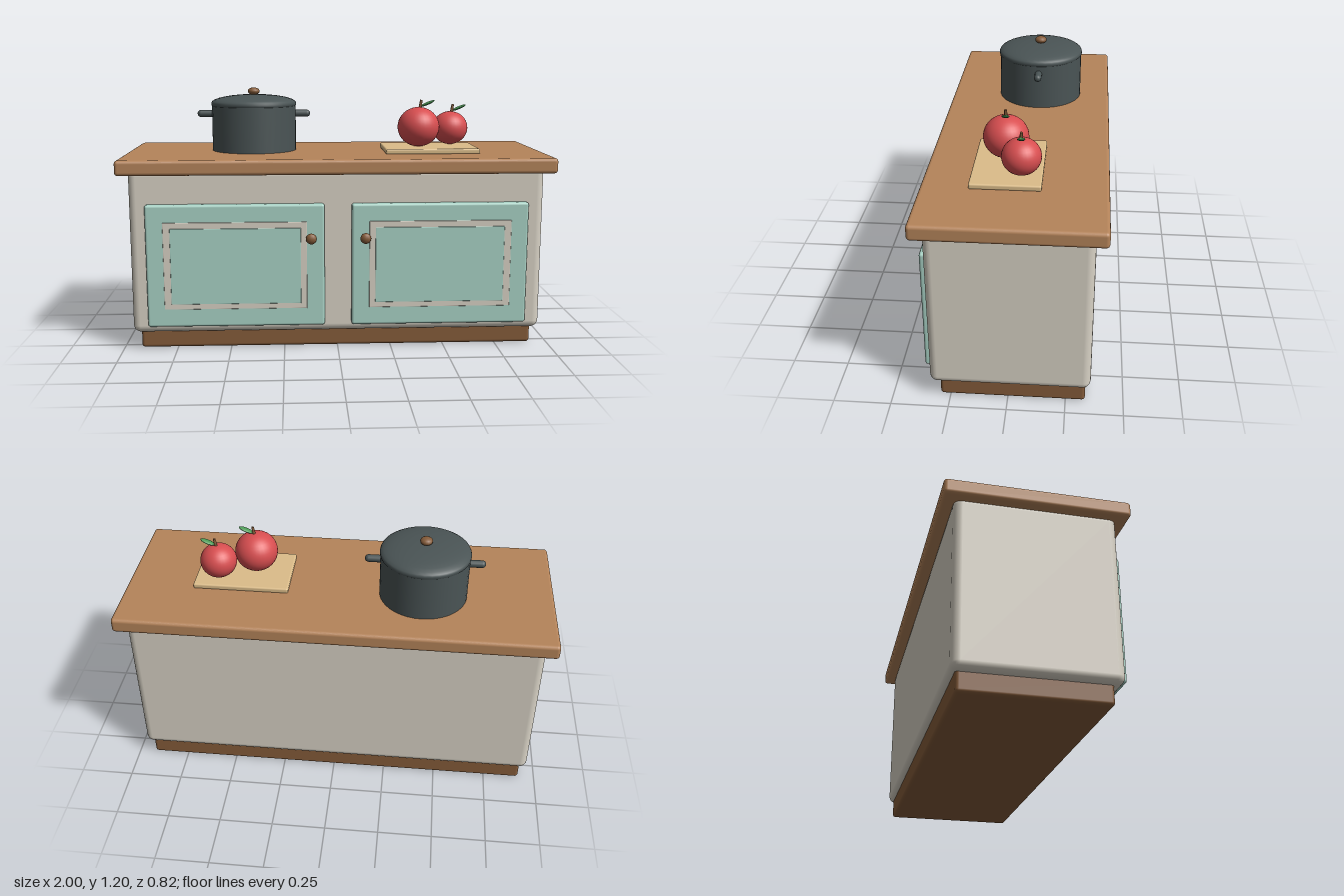
import * as THREE from 'three';
import { RoundedBoxGeometry } from 'three/addons/geometries/RoundedBoxGeometry.js';

const material = (name, color) => {
  const m = new THREE.MeshStandardMaterial({ color });
  m.name = name;
  return m;
};

export function createModel() {
  const wood = material('warm wood', 0xb5845a);
  const darkWood = material('dark wood', 0x855c3a);
  const cream = material('cream paint', 0xd8d2c5);
  const mint = material('mint paint', 0xa9d3c6);
  const iron = material('dark iron', 0x4a5455);
  const red = material('apple red', 0xd84e50);
  const paleWood = material('pale wood', 0xdcbd8a);
  const green = material('leaf green', 0x4c9a55);

  const model = new THREE.Group();
  model.name = 'kitchenCounter';

  const add = (parent, name, geometry, mat, x = 0, y = 0, z = 0) => {
    const mesh = new THREE.Mesh(geometry, mat);
    mesh.name = name;
    mesh.position.set(x, y, z);
    parent.add(mesh);
    return mesh;
  };
  const group = (name, x = 0, y = 0, z = 0) => {
    const g = new THREE.Group();
    g.name = name;
    g.position.set(x, y, z);
    model.add(g);
    return g;
  };
  // Rounded box given by its extents on each axis
  const slab = (parent, name, mat, [x0, x1], [y0, y1], [z0, z1], radius) =>
    add(parent, name, new RoundedBoxGeometry(x1 - x0, y1 - y0, z1 - z0, 3, radius), mat,
      (x0 + x1) / 2, (y0 + y1) / 2, (z0 + z1) / 2);
  const ellipsoid = (rx, ry, rz, w = 24, h = 16) =>
    new THREE.SphereGeometry(1, w, h).scale(rx, ry, rz);

  // Cabinet
  slab(model, 'plinth', darkWood, [-0.92, 0.92], [0, 0.1], [-0.335, 0.294], 0.015);
  slab(model, 'cabinetBody', cream, [-0.952, 0.952], [0.083, 0.85], [-0.357, 0.336], 0.035);
  slab(model, 'worktop', wood, [-1, 1], [0.825, 0.895], [-0.408, 0.386], 0.016);

  // Doors with a cream moulding, raised centre panel and knob
  for (const side of [-1, 1]) {
    const door = group(side < 0 ? 'rightDoor' : 'leftDoor');
    const span = (a, b) => (side < 0 ? [-b, -a] : [a, b]);
    slab(door, 'doorPanel', mint, span(0.062, 0.877), [0.12, 0.69], [0.325, 0.365], 0.012);
    slab(door, 'moulding', cream, span(0.143, 0.797), [0.205, 0.61], [0.361, 0.37], 0.002);
    slab(door, 'centrePanel', mint, span(0.171, 0.765), [0.23, 0.582], [0.365, 0.374], 0.002);
    add(door, 'doorKnob', ellipsoid(0.025, 0.025, 0.019, 12, 8), darkWood, side * 0.124, 0.535, 0.392);
  }

  // Cooking pot
  const pot = group('pot', -0.393, 0.895, -0.057);
  add(pot, 'potBody', new THREE.CylinderGeometry(0.204, 0.204, 0.22, 40), iron, 0, 0.11, 0);
  const lidProfile = [new THREE.Vector2(0, 0.212), new THREE.Vector2(0.2, 0.212), new THREE.Vector2(0.207, 0.218)];
  for (let i = 0; i <= 8; i++) {
    const a = (i / 8) * Math.PI / 2;
    lidProfile.push(new THREE.Vector2(0.207 * Math.cos(a), 0.229 + 0.041 * Math.sin(a)));
  }
  add(pot, 'potLid', new THREE.LatheGeometry(lidProfile, 40), iron);
  add(pot, 'lidKnob', ellipsoid(0.029, 0.018, 0.029, 16, 10), darkWood, 0, 0.285, 0);
  for (const side of [-1, 1]) {
    const handle = add(pot, 'potHandle', new THREE.CapsuleGeometry(0.0175, 0.065, 6, 14), iron, side * 0.225, 0.177, 0);
    handle.rotation.z = Math.PI / 2;
  }

  // Chopping board
  slab(model, 'choppingBoard', paleWood, [0.234, 0.682], [0.892, 0.918], [-0.125, 0.181], 0.008);

  // Apples with stem and leaf
  for (const [x, y, z, r] of [[0.404, 1.012, 0.046, 0.101], [0.571, 1, -0.034, 0.086]]) {
    const apple = group('apple', x, y, z);
    add(apple, 'appleFlesh', ellipsoid(r, r * 0.94, r, 32, 20), red);
    const stem = add(apple, 'stem', new THREE.CylinderGeometry(0.006, 0.008, 0.045, 8), darkWood, 0.009, r * 0.94 + 0.012, 0);
    stem.rotation.z = -0.15;
    const leaf = add(apple, 'leaf', ellipsoid(0.037, 0.007, 0.017, 14, 8), green, 0.043, r * 0.94 + 0.017, -0.002);
    leaf.rotation.z = 0.4;
  }
  return model;
}
